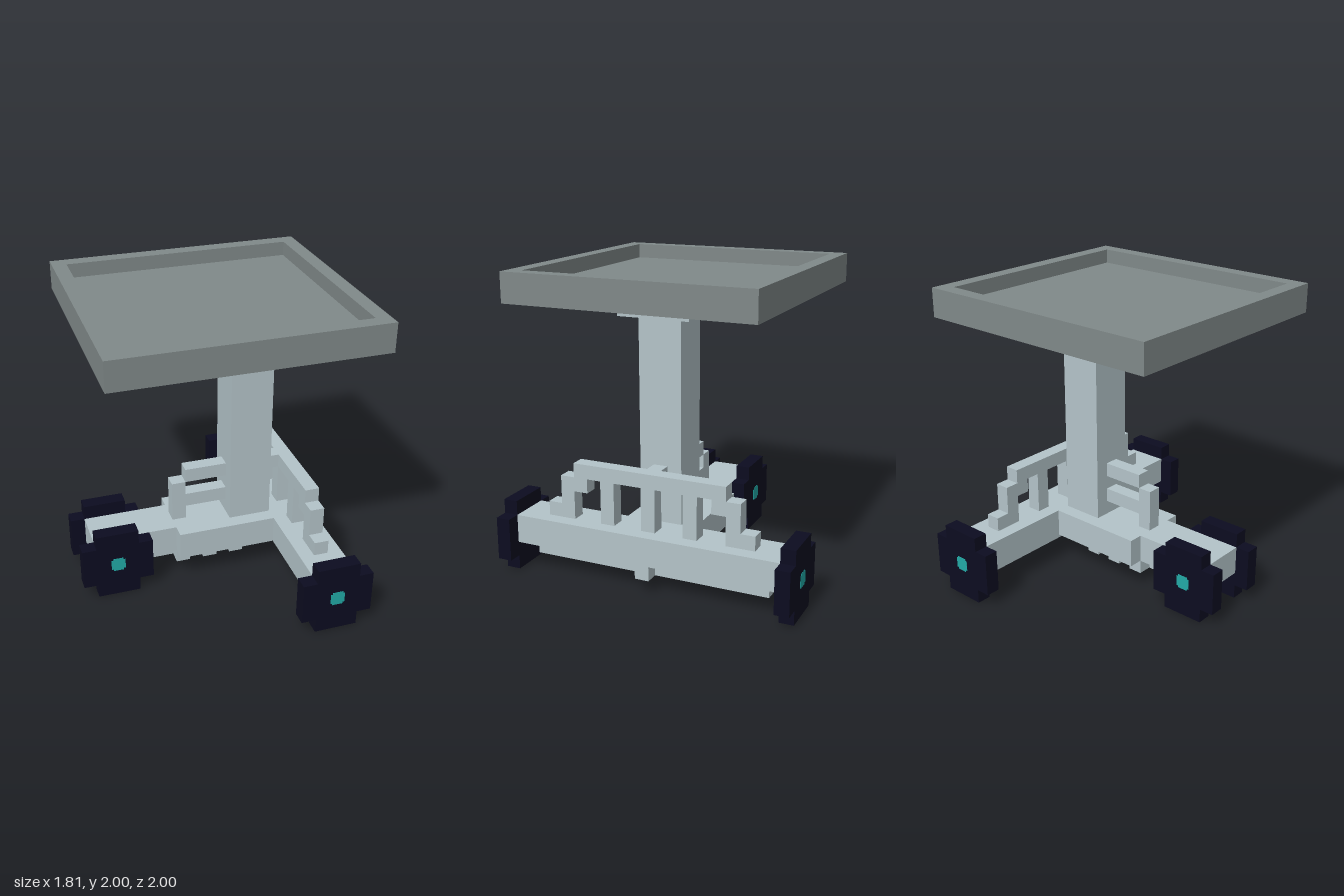
import * as THREE from 'three';

const U = 2 / 21; // one block; grid is 19 x 21 x 21 blocks
const material = (name, color) => {
  const m = new THREE.MeshStandardMaterial({ color });
  m.name = name;
  return m;
};

export function createModel() {
  const frame = material('paleBlueGrey', 0xb4c4c9);
  const slate = material('slateGrey', 0x808989);
  const rubber = material('darkNavy', 0x0c0c20);
  const teal = material('teal', 0x22aaa6);

  const model = new THREE.Group();
  model.name = 'wheeledStand';

  const group = (name) => {
    const g = new THREE.Group();
    g.name = name;
    model.add(g);
    return g;
  };

  // Box spanning grid corners (x0,y0,z0)-(x1,y1,z1), in blocks
  const block = (parent, name, mat, [x0, x1], [y0, y1], [z0, z1]) => {
    const geo = new THREE.BoxGeometry((x1 - x0) * U, (y1 - y0) * U, (z1 - z0) * U);
    const mesh = new THREE.Mesh(geo, mat);
    mesh.name = name;
    mesh.position.set(((x0 + x1) / 2 - 9.5) * U, ((y0 + y1) / 2) * U, ((z0 + z1) / 2 - 10.5) * U);
    parent.add(mesh);
    return mesh;
  };

  const rectangle = (Type, x0, x1, z0, z1) => new Type([
    new THREE.Vector2(x0, z0), new THREE.Vector2(x1, z0),
    new THREE.Vector2(x1, z1), new THREE.Vector2(x0, z1),
  ]);

  // Tray: floor and raised rim
  const tray = group('tray');
  block(tray, 'trayFloor', slate, [1, 19], [19, 20], [2, 19]);
  const rimShape = rectangle(THREE.Shape, -9 * U, 9 * U, -8.5 * U, 8.5 * U);
  rimShape.holes.push(rectangle(THREE.Path, -8 * U, 8 * U, -7.5 * U, 7.5 * U));
  const rimGeo = new THREE.ExtrudeGeometry(rimShape, { depth: U, bevelEnabled: false });
  rimGeo.rotateX(-Math.PI / 2);
  const rim = new THREE.Mesh(rimGeo, slate);
  rim.name = 'trayRim';
  rim.position.set(0.5 * U, 20 * U, 0);
  tray.add(rim);

  // Bracket under the tray with a slotted arm
  const bracket = group('bracket');
  block(bracket, 'bracketPlate', frame, [10, 15], [18, 19], [8, 13]);
  block(bracket, 'armTip', frame, [3, 4], [18, 19], [9, 12]);
  for (const z of [9, 11]) block(bracket, 'armSide', frame, [4, 10], [18, 19], [z, z + 1]);

  // Column
  block(model, 'column', frame, [11, 14], [4, 18], [9, 12]);

  // Chassis: cross beam, wide body, narrow stem, keel and ribs
  const chassis = group('chassis');
  block(chassis, 'crossBeam', frame, [14, 17], [2, 4], [1, 20]);
  block(chassis, 'body', frame, [7, 14], [2, 4], [8, 13]);
  block(chassis, 'stem', frame, [1, 7], [2, 4], [9, 12]);
  block(chassis, 'keel', frame, [2, 17], [1, 2], [10, 11]);
  for (const z of [2, 11]) block(chassis, 'beamKeel', frame, [15, 16], [1, 2], [z, z + 8]);
  for (const x of [7, 9, 11]) {
    for (const z of [9, 11]) block(chassis, 'rib', frame, [x, x + 1], [1, 2], [z, z + 1]);
  }

  // Railing along the stem
  const stemRail = group('stemRailing');
  block(stemRail, 'railPost', frame, [7, 8], [4, 7], [10, 11]);
  block(stemRail, 'lowerRail', frame, [8, 11], [5, 6], [10, 11]);
  block(stemRail, 'upperRail', frame, [8, 11], [7, 8], [10, 11]);

  // Stepped railing along the cross beam, mirrored front to back
  const beamRail = group('beamRailing');
  block(beamRail, 'topRail', frame, [15, 16], [7, 8], [5, 16]);
  block(beamRail, 'centrePost', frame, [15, 16], [4, 7], [10, 11]);
  block(beamRail, 'railConnector', frame, [14, 15], [7, 8], [10, 11]);
  const halfRail = [
    ['railPost', [4, 7], 7],
    ['endPost', [4, 7], 4],
    ['innerStep', [6, 7], 5],
    ['outerStep', [4, 5], 3],
  ];
  for (const [name, y, z] of halfRail) {
    for (const k of [z, 20 - z]) block(beamRail, name, frame, [15, 16], y, [k, k + 1]);
  }

  // Wheels: 5 x 5 discs with the corner blocks removed
  const wheelShape = new THREE.Shape([
    [-1.5, -2.5], [1.5, -2.5], [1.5, -1.5], [2.5, -1.5], [2.5, 1.5], [1.5, 1.5],
    [1.5, 2.5], [-1.5, 2.5], [-1.5, 1.5], [-2.5, 1.5], [-2.5, -1.5], [-1.5, -1.5],
  ].map(([x, y]) => new THREE.Vector2(x * U, y * U)));
  const wheelGeo = new THREE.ExtrudeGeometry(wheelShape, { depth: U, bevelEnabled: false });

  const addWheel = (name, cx, z, side) => {
    const g = group(name);
    const tyre = new THREE.Mesh(wheelGeo, rubber);
    tyre.name = 'tyre';
    tyre.position.set((cx - 9.5) * U, 2.5 * U, (z - 10.5) * U);
    g.add(tyre);
    // Hub cap with notched corners on the outer face
    const face = side > 0 ? z + 1 : z;
    const depth = [face - 0.02, face + 0.02];
    for (const [a, b] of [[0.5, 0.37], [0.37, 0.5]]) {
      block(g, 'hubCap', teal, [cx - a, cx + a], [2.5 - b, 2.5 + b], depth);
    }
  };
  addWheel('frontBeamWheel', 15.5, 20, 1);
  addWheel('backBeamWheel', 15.5, 0, -1);
  addWheel('frontStemWheel', 2.5, 12, 1);
  addWheel('backStemWheel', 2.5, 8, -1);

  return model;
}
